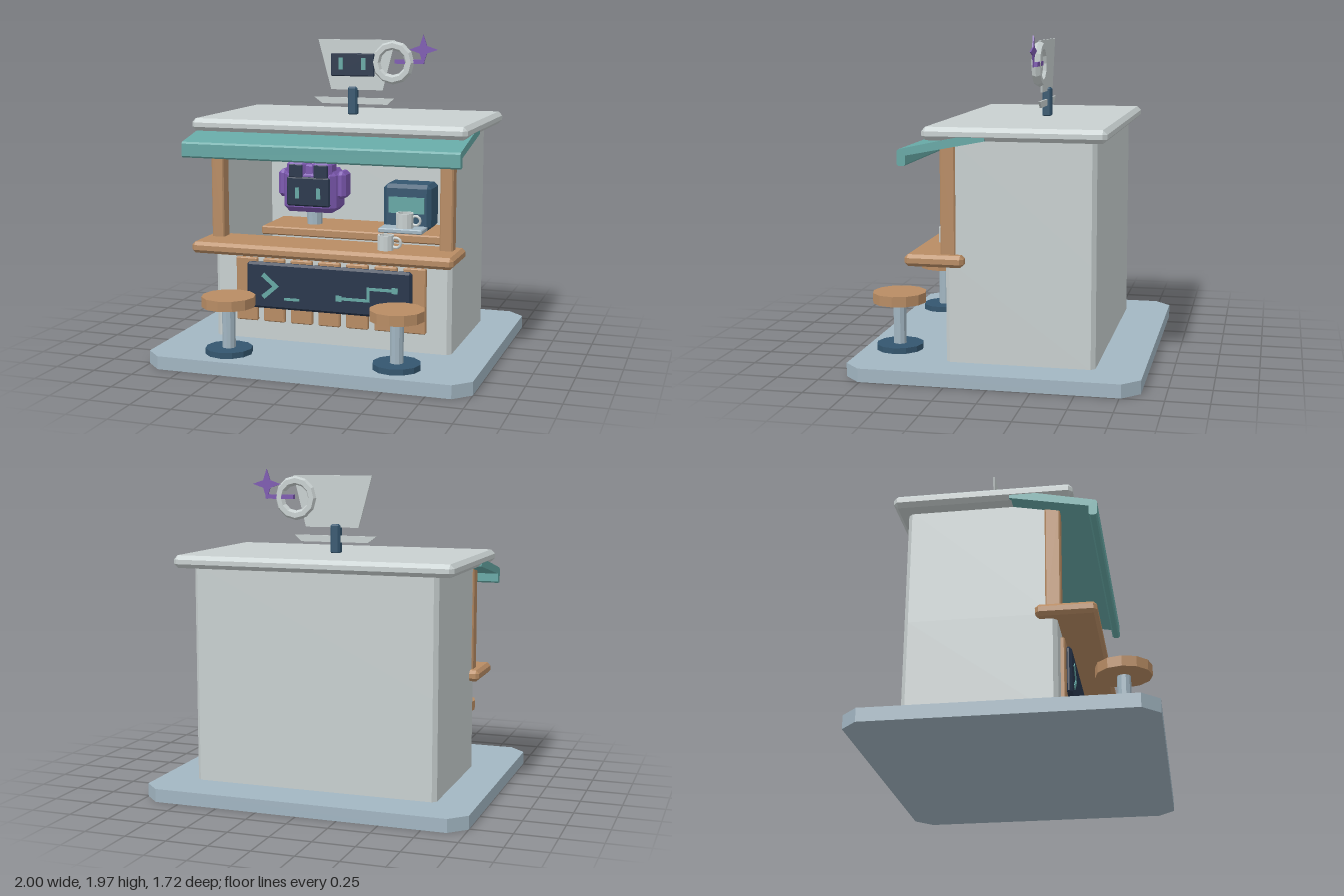
import * as THREE from 'three';
import { ConvexGeometry } from 'three/addons/geometries/ConvexGeometry.js';

export function createModel() {
  const model = new THREE.Group();
  const mat = (name, color, side = THREE.FrontSide) => {
    const m = new THREE.MeshStandardMaterial({ color, side });
    m.name = name;
    return m;
  };
  const shell = mat('pale shell', 0xc8d0d0);
  const steel = mat('blue grey', 0xa2b6c2);
  const wood = mat('wood', 0xb88c64);
  const teal = mat('teal', 0x66a8a5);
  const navy = mat('dark navy', 0x27354b);
  const blue = mat('deep blue', 0x34566f);
  const purple = mat('purple', 0x7c58b0);

  const add = (name, geometry, material, parent = model) => {
    const mesh = new THREE.Mesh(geometry, material);
    mesh.name = name;
    parent.add(mesh);
    return mesh;
  };
  const group = (name, x = 0, y = 0, z = 0) => {
    const g = new THREE.Group();
    g.name = name;
    g.position.set(x, y, z);
    model.add(g);
    return g;
  };
  // Box given by its limits; a bevel b cuts all edges and corners
  const box = (name, [x0, x1], [y0, y1], [z0, z1], material, b = 0, parent = model) => {
    const hx = (x1 - x0) / 2, hy = (y1 - y0) / 2, hz = (z1 - z0) / 2;
    let geo;
    if (b) {
      const pts = [];
      for (const i of [-1, 1]) for (const j of [-1, 1]) for (const k of [-1, 1]) {
        pts.push(new THREE.Vector3(i * hx, j * (hy - b), k * (hz - b)),
          new THREE.Vector3(i * (hx - b), j * hy, k * (hz - b)),
          new THREE.Vector3(i * (hx - b), j * (hy - b), k * hz));
      }
      geo = new ConvexGeometry(pts);
    } else geo = new THREE.BoxGeometry(hx * 2, hy * 2, hz * 2);
    const mesh = add(name, geo, material, parent);
    mesh.position.set((x0 + x1) / 2, (y0 + y1) / 2, (z0 + z1) / 2);
    return mesh;
  };
  const shapeOf = pts => new THREE.Shape(pts.map(p => new THREE.Vector2(...p)));
  const slab = (shape, depth) => new THREE.ExtrudeGeometry(shape, { depth, bevelEnabled: false });
  // Floor-plan outline (x, -z) raised from y0 to y1
  const plan = (shape, y0, y1) => slab(shape, y1 - y0).rotateX(-Math.PI / 2).translate(0, y0, 0);
  // Upright plate (x, y) between two depths
  const plate = (name, pts, z0, z1, material, parent = model) =>
    add(name, slab(shapeOf(pts), z1 - z0).translate(0, 0, z0), material, parent);
  const cyl = (name, r, y0, y1, sides, material, parent) => {
    const geo = new THREE.CylinderGeometry(r, r, y1 - y0, sides).toNonIndexed();
    geo.computeVertexNormals();
    return add(name, geo.translate(0, (y0 + y1) / 2, 0), material, parent);
  };

  // Ground slab with cut corners
  add('groundSlab', plan(shapeOf([[-0.9, -0.86], [0.9, -0.86], [1, -0.76], [1, 0.76],
    [0.9, 0.86], [-0.9, 0.86], [-1, 0.76], [-1, -0.76]]), 0, 0.08), steel);

  // Hollow kiosk: closed ring below the counter, three walls above it
  const c = 0.025, W = 0.76, F = -0.3, B = 0.58, t = 0.06;
  const ring = shapeOf([[-W + c, F], [W - c, F], [W, F + c], [W, B - c],
    [W - c, B], [-W + c, B], [-W, B - c], [-W, F + c]]);
  ring.holes.push(new THREE.Path([[-W + t, F + t], [-W + t, B - t], [W - t, B - t], [W - t, F + t]]
    .map(p => new THREE.Vector2(...p))));
  add('lowerWalls', plan(ring, 0.08, 0.68), shell);
  add('upperWalls', plan(shapeOf([[-W, F + c], [-W + c, F], [-W + t, F], [-W + t, B - t],
    [W - t, B - t], [W - t, F], [W - c, F], [W, F + c], [W, B - c], [W - c, B],
    [-W + c, B], [-W, B - c]]), 0.68, 1.4), shell);
  box('roof', [-0.865, 0.865], [1.388, 1.465], [-0.65, 0.41], shell, 0.025);
  for (const s of [-1, 1]) {
    box('frontPost', [s * 0.73 - 0.04, s * 0.73 + 0.04], [0.7, 1.36], [0.235, 0.325], wood, 0.008);
  }

  // Sloping awning with a hanging front edge, drawn as a side profile
  const awning = slab(shapeOf([[0.04, 1.415], [0.04, 1.39], [0.5, 1.3], [0.5, 1.25], [0.51, 1.24],
    [0.54, 1.24], [0.55, 1.25], [0.55, 1.325], [0.54, 1.336], [0.15, 1.42]]), 1.724);
  add('awning', awning.rotateY(-Math.PI / 2).translate(0.862, 0, 0).scale(1, 1, 1), teal);

  // Counter and the shelf inside
  box('counter', [-0.82, 0.82], [0.65, 0.72], [0.18, 0.53], wood, 0.02);
  box('innerShelf', [-0.61, 0.61], [0.665, 0.72], [-0.5, -0.1], wood, 0.008);

  // Slatted front with a wide display
  for (let i = -3; i <= 3; i++) {
    box('slat', [i * 0.18 - 0.07, i * 0.18 + 0.07], [0.2, 0.6], [0.29, 0.325], wood, 0.006);
  }
  box('display', [-0.53, 0.53], [0.29, 0.58], [0.315, 0.355], navy, 0.015);
  const mark = (name, pts) => plate(name, pts, 0.354, 0.361, teal);
  const bar = (name, x0, x1, y0, y1) => mark(name, [[x0, y0], [x1, y0], [x1, y1], [x0, y1]]);
  mark('promptArrow', [[-0.43, 0.495], [-0.355, 0.435], [-0.43, 0.375], [-0.41, 0.352],
    [-0.315, 0.435], [-0.41, 0.518]]);
  bar('promptDash', -0.28, -0.18, 0.352, 0.368);
  bar('circuitEnd', 0.057, 0.093, 0.372, 0.408);
  bar('circuitEnd', 0.41, 0.446, 0.445, 0.481);
  mark('circuitLine', [[0.093, 0.381], [0.27, 0.381], [0.27, 0.454], [0.41, 0.454],
    [0.41, 0.472], [0.252, 0.472], [0.252, 0.399], [0.093, 0.399]]);

  // Two bar stools
  for (const s of [-1, 1]) {
    const stool = group(s < 0 ? 'rightStool' : 'leftStool', s * 0.525, 0, 0.648);
    cyl('stoolBase', 0.143, 0.08, 0.115, 12, blue, stool);
    cyl('stoolPost', 0.04, 0.115, 0.37, 10, steel, stool);
    cyl('stoolSeat', 0.163, 0.37, 0.432, 12, wood, stool);
  }

  // Robot barkeeper on the shelf
  const robot = group('robot', -0.308, 0, -0.29);
  cyl('robotNeck', 0.05, 0.72, 0.84, 10, steel, robot);
  box('robotHead', [-0.18, 0.18], [0.81, 1.09], [-0.12, 0.12], purple, 0.035, robot);
  box('robotFace', [-0.148, 0.148], [0.853, 1.045], [0.1, 0.135], navy, 0.01, robot);
  box('goggleBridge', [-0.03, 0.03], [1.05, 1.125], [0.04, 0.11], purple, 0.01, robot);
  for (const s of [-1, 1]) {
    const at = (x, h) => [s * x - h, s * x + h];
    box('goggle', at(0.086, 0.068), [1.01, 1.15], [-0.02, 0.125], purple, 0.025, robot);
    box('goggleLens', at(0.086, 0.047), [1.04, 1.126], [0.11, 0.132], navy, 0.005, robot);
    box('robotEar', at(0.2, 0.032), [0.9, 1.08], [-0.07, 0.07], purple, 0.022, robot);
    box('robotEye', at(0.073, 0.013), [0.905, 0.975], [0.133, 0.14], teal, 0, robot);
  }

  // Coffee machine with a tray
  box('coffeeMachine', [0.175, 0.49], [0.72, 1.015], [-0.46, -0.24], blue, 0.025);
  box('machineScreen', [0.214, 0.45], [0.83, 0.935], [-0.241, -0.233], teal);
  box('dripTray', [0.18, 0.47], [0.72, 0.75], [-0.26, -0.11], steel, 0.006);

  // Mugs with a hollow cup and a ring handle
  const mug = (name, x, y, z, r, h) => {
    const g = group(name, x, y, z);
    const pts = [[0, 0], [r, 0], [r, h], [r * 0.8, h], [r * 0.8, h * 0.3], [0, h * 0.3]];
    const cup = new THREE.LatheGeometry(pts.map(p => new THREE.Vector2(...p)), 12).toNonIndexed();
    cup.computeVertexNormals();
    add('mugCup', cup, shell, g);
    add('mugHandle', new THREE.TorusGeometry(0.03, 0.009, 6, 10), shell, g).position.set(r + 0.014, h * 0.5, 0);
  };
  mug('trayMug', 0.34, 0.75, -0.175, 0.058, 0.095);
  mug('counterMug', 0.38, 0.72, 0.39, 0.049, 0.09);

  // Rooftop sign: pole, saucer, cup with a face, ring handle and a spark
  const sign = group('roofSign', 0, 0, -0.16);
  box('signPole', [-0.03, 0.03], [1.46, 1.64], [-0.028, 0.028], blue, 0.01, sign);
  plate('signSaucer', [[-0.205, 1.53], [0.225, 1.53], [0.27, 1.57], [-0.26, 1.57]], -0.006, 0.006, shell, sign);
  plate('signCup', [[-0.145, 1.62], [0.195, 1.62], [0.275, 1.935], [-0.23, 1.935]], -0.006, 0.006, shell, sign);
  box('signScreen', [-0.143, 0.143], [1.705, 1.85], [0.004, 0.024], navy, 0.006, sign);
  for (const x of [-0.075, 0.075]) {
    box('signEye', [x - 0.014, x + 0.014], [1.748, 1.822], [0.023, 0.031], teal, 0, sign);
  }
  const handle = new THREE.TorusGeometry(0.107, 0.03, 6, 12).toNonIndexed();
  handle.computeVertexNormals();
  add('signHandle', handle, shell, sign).position.set(0.26, 1.795, 0);
  box('sparkArm', [0.27, 0.455], [1.788, 1.814], [-0.025, 0.004], purple, 0, sign);
  const star = [];
  for (let i = 0; i < 8; i++) {
    const r = i % 2 ? 0.033 : 0.092, a = i * Math.PI / 4;
    star.push([0.455 + r * Math.cos(a), 1.877 + r * Math.sin(a)]);
  }
  plate('spark', star, -0.004, 0.004, purple, sign);

  return model;
}
